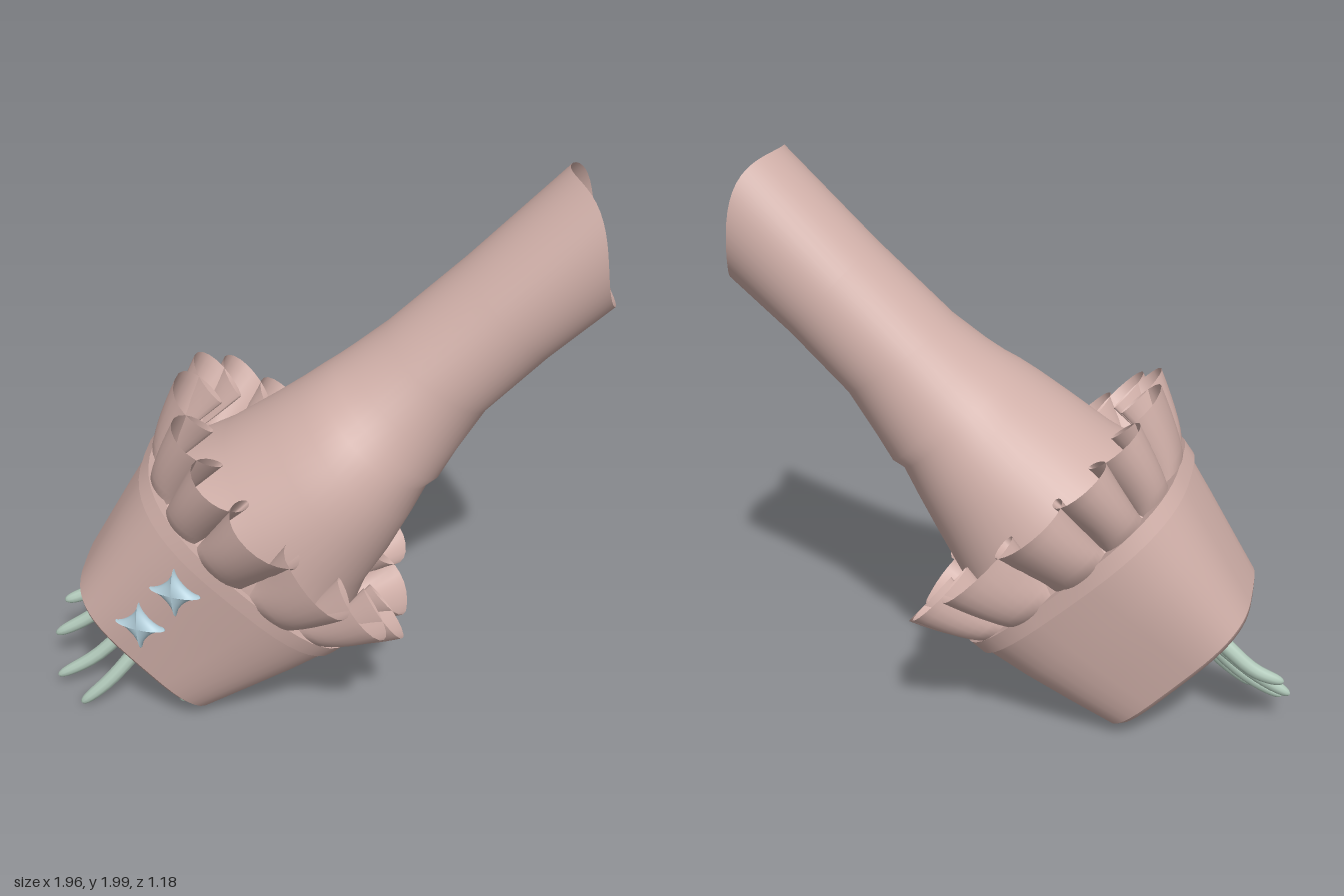
import * as THREE from 'three';

const mat = (name, color, side = THREE.FrontSide) => {
  const m = new THREE.MeshStandardMaterial({ color, side });
  m.name = name;
  return m;
};

// Signed power, squares off an oval when p < 1
const spow = (v, p) => Math.sign(v) * Math.abs(v) ** p;

// Closed loop surface: fn(row, angle) gives a point, rows are joined in order
function loft(rows, cols, fn) {
  const pos = [], idx = [];
  for (let r = 0; r < rows; r++)
    for (let c = 0; c < cols; c++) pos.push(...fn(r, (c / cols) * Math.PI * 2));
  for (let r = 0; r < rows - 1; r++)
    for (let c = 0; c < cols; c++) {
      const a = r * cols + c, b = r * cols + ((c + 1) % cols);
      idx.push(a, a + cols, b, b, a + cols, b + cols);
    }
  const g = new THREE.BufferGeometry();
  g.setAttribute('position', new THREE.Float32BufferAttribute(pos, 3));
  g.setIndex(idx);
  g.computeVertexNormals();
  return g;
}

// Oval rings: [y at -x side, -x edge, y at +x side, +x edge, back z, front z, squareness]
const ovals = (list, bulge = 0) => loft(list.length, 48, (r, a) => {
  const [yA, xA, yB, xB, z0, z1, p = 1] = list[r];
  const c = spow(Math.cos(a), p), s = spow(Math.sin(a), p);
  const lip = r === list.length - 1 ? bulge * s * s * (1 - 2.2 * c) : 0;
  return [
    (xA + xB) / 2 + (c * (xB - xA)) / 2,
    (yA + yB) / 2 + (c * (yB - yA)) / 2 + lip,
    (z0 + z1) / 2 + (s * (z1 - z0)) / 2,
  ];
});

export function createModel() {
  const model = new THREE.Group();
  const cloth = mat('dusty pink cloth', 0xd1b0a9, THREE.DoubleSide);
  const skin = mat('pale green skin', 0xb2cabb, THREE.DoubleSide);
  const blue = mat('pale blue star', 0xb4d0dc);
  const add = (parent, name, geo, material) => {
    const m = new THREE.Mesh(geo, material);
    m.name = name;
    parent.add(m);
    return m;
  };

  // Garment is built upright along y, then tilted
  const garment = new THREE.Group();
  garment.name = 'garment';
  garment.position.set(-0.217, 0.645, 0);
  garment.rotation.z = -0.755;
  model.add(garment);

  add(garment, 'sleeve', ovals([
    [-0.02, -0.46, -0.02, 0.46, -0.41, 0.41, 0.8],
    [0.12, -0.39, 0.12, 0.41, -0.39, 0.41, 0.88],
    [0.25, -0.35, 0.22, 0.369, -0.37, 0.4, 0.95],
    [0.43, -0.312, 0.37, 0.338, -0.345, 0.385],
    [0.55, -0.285, 0.52, 0.295, -0.325, 0.355],
    [0.63, -0.27, 0.63, 0.262, -0.3, 0.31],
    [0.69, -0.257, 0.67, 0.276, -0.29, 0.28],
    [0.76, -0.243, 0.78, 0.249, -0.28, 0.25],
    [0.9, -0.222, 0.95, 0.216, -0.26, 0.21],
    [1.25, -0.2, 1.22, 0.222, -0.25, 0.19],
    [1.683, -0.188, 1.486, 0.244, -0.25, 0.18],
  ], 0.03), cloth);

  // Cuff wall, turned-in rim and top band
  add(garment, 'cuff', ovals([
    [-0.5, -0.36, -0.545, 0.335, -0.285, 0.32, 0.58],
    [-0.35, -0.395, -0.37, 0.385, -0.33, 0.35, 0.62],
    [-0.18, -0.435, -0.19, 0.435, -0.375, 0.385, 0.66],
    [-0.02, -0.47, -0.02, 0.475, -0.415, 0.42, 0.7],
  ]), cloth);
  add(garment, 'cuffRim', ovals([
    [-0.4, -0.335, -0.43, 0.31, -0.255, 0.29, 0.58],
    [-0.505, -0.33, -0.55, 0.305, -0.25, 0.285, 0.58],
    [-0.518, -0.343, -0.563, 0.318, -0.265, 0.3, 0.58],
    [-0.5, -0.36, -0.545, 0.335, -0.285, 0.32, 0.58],
  ]), cloth);
  const bandRows = [[-0.03, 0.465, 0.41], [-0.03, 0.483, 0.428], [0.03, 0.49, 0.435], [0.03, 0.45, 0.39]];
  for (let i = 0; i < 3; i++)
    add(garment, 'cuffBand', ovals(bandRows.slice(i, i + 2).map(
      ([y, x, z]) => [y, -x, y, x, -z, z, 0.7])), cloth);

  // Ruffle: cup-like loops, pinched at the band and flaring early to a wide lip
  const folds = 14, steps = 8;
  add(garment, 'ruffle', loft(steps + 1, folds * 20, (r, a) => {
    const v = r / steps, f = v ** 0.65, w = Math.cos(folds * a);
    const t = a + ((0.8 + 1.1 * v) / folds) * Math.sin(folds * a);
    const x = spow(Math.cos(t), 0.82) * (0.45 + 0.05 * f + (0.01 + 0.085 * f) * w);
    const z = spow(Math.sin(t), 0.82) * (0.405 + 0.08 * f + (0.01 + 0.105 * f) * w);
    return [x, v * (0.262 - 0.075 * Math.max(0, Math.cos(t)) ** 6), z];
  }), cloth);

  // Hand: palm hidden in the cuff, four fingers and a thumb
  const hand = new THREE.Group();
  hand.name = 'hand';
  model.add(hand);
  const palm = add(hand, 'palm', new THREE.SphereGeometry(1, 20, 14), skin);
  palm.scale.set(0.09, 0.12, 0.14);
  palm.position.set(-0.48, 0.47, 0.03);
  palm.rotation.z = -0.755;

  const finger = (name, points, radius) => {
    const curve = new THREE.CatmullRomCurve3(points.map((p) => new THREE.Vector3(...p)));
    const dir = curve.getPoint(1).sub(curve.getPoint(0)).normalize();
    const u = new THREE.Vector3(0, 0, 1).cross(dir).normalize();
    const w = dir.clone().cross(u);
    const n = 14;
    add(hand, name, loft(n + 1, 10, (r, a) => {
      const v = 1 - (1 - r / n) ** 1.8;
      const rad = radius * (1 - 0.28 * v) * Math.sqrt(Math.max(0, 1 - v ** 14));
      return curve.getPoint(v)
        .addScaledVector(u, Math.cos(a) * rad)
        .addScaledVector(w, Math.sin(a) * rad).toArray();
    }), skin);
  };
  [
    [[-0.55, 0.5, -0.07], [-0.74, 0.37, -0.11], [-0.85, 0.285, -0.12], [-0.955, 0.24, -0.11]],
    [[-0.52, 0.47, -0.02], [-0.7, 0.34, -0.035], [-0.85, 0.22, -0.035], [-0.98, 0.142, -0.03]],
    [[-0.5, 0.44, 0.05], [-0.65, 0.29, 0.07], [-0.8, 0.14, 0.09], [-0.95, 0.045, 0.1]],
    [[-0.48, 0.41, 0.1], [-0.61, 0.25, 0.15], [-0.73, 0.11, 0.19], [-0.84, 0.01, 0.21]],
  ].forEach((p) => finger('finger', p, 0.032));
  finger('thumb', [[-0.46, 0.36, 0.14], [-0.46, 0.2, 0.19], [-0.455, 0.055, 0.23]], 0.034);

  // Puffy four-pointed stars on the front of the cuff
  const star = new THREE.SphereGeometry(1, 48, 24).rotateX(Math.PI / 2);
  const p = star.attributes.position;
  for (let i = 0; i < p.count; i++) {
    const x = p.getX(i), y = p.getY(i), rho = Math.hypot(x, y), a = Math.atan2(y, x);
    p.setXYZ(i, 0.094 * rho * Math.cos(a) ** 3, 0.094 * rho * Math.sin(a) ** 3, 0.03 * p.getZ(i));
  }
  star.computeVertexNormals();
  const normal = new THREE.Vector3(-0.3, 0, 1).normalize();
  for (const at of [[-0.435, 0.645, 0.395], [-0.57, 0.475, 0.352]]) {
    const s = add(model, 'star', star, blue);
    s.position.set(...at);
    s.quaternion.setFromUnitVectors(new THREE.Vector3(0, 0, 1), normal);
  }
  return model;
}
